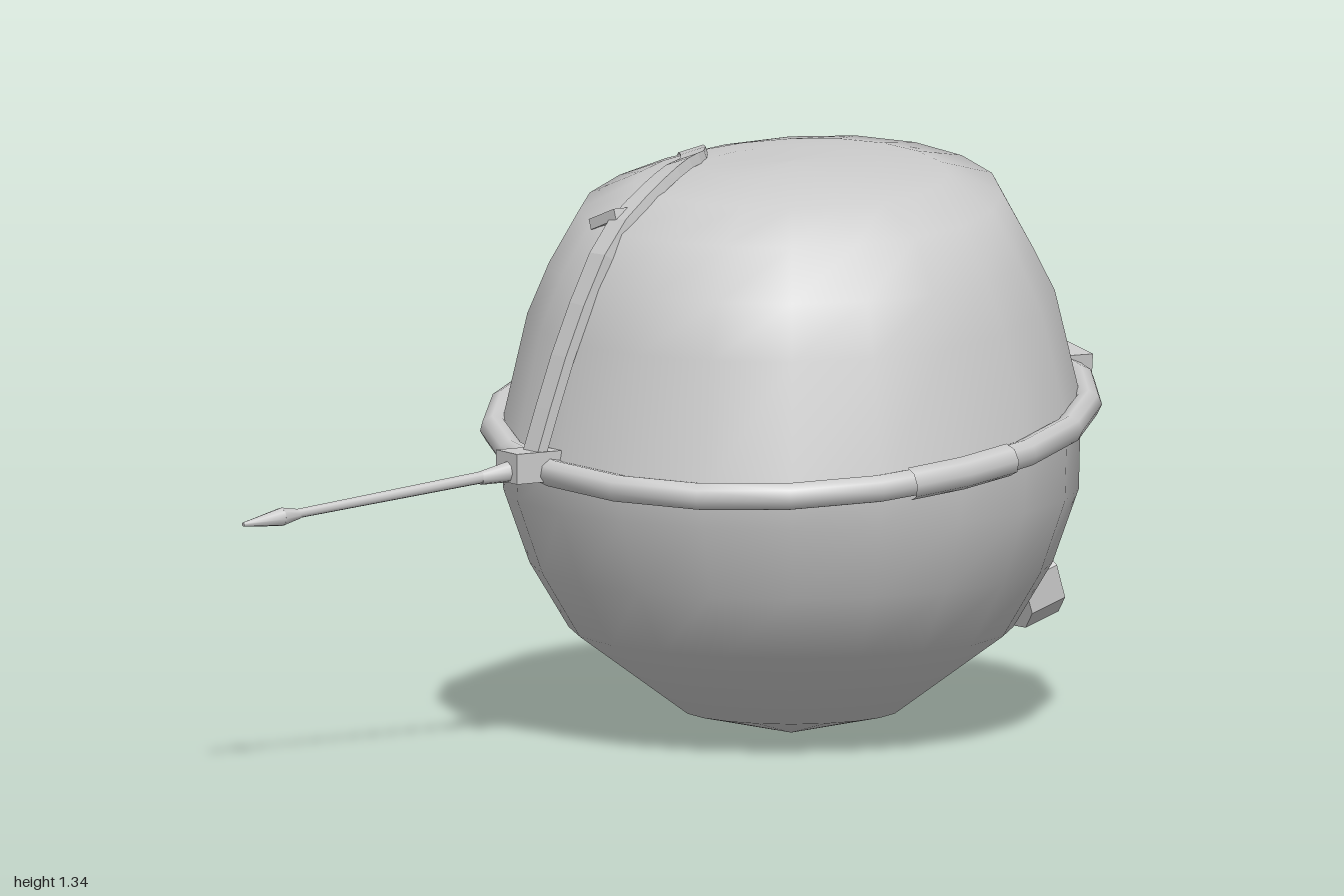
import * as THREE from 'three';

const V = (x, y, z) => new THREE.Vector3(x, y, z);
const CX = 0.12, CZ = -0.15, SEG = 20;
const lerp = THREE.MathUtils.lerp;
const solid = new THREE.MeshStandardMaterial({ color: 0xcccccc });
const open = new THREE.MeshStandardMaterial({ color: 0xcccccc, side: THREE.DoubleSide });

// Closed loops of points joined row by row
function loft(rows, cols, point) {
  const pos = [], idx = [];
  for (let i = 0; i < rows; i++)
    for (let j = 0; j < cols; j++) pos.push(...point(i, j).toArray());
  for (let i = 0; i < rows - 1; i++)
    for (let j = 0; j < cols; j++) {
      const k = (j + 1) % cols, a = i * cols + j, b = i * cols + k;
      idx.push(a, b, b + cols, a, b + cols, a + cols);
    }
  const g = new THREE.BufferGeometry();
  g.setAttribute('position', new THREE.Float32BufferAttribute(pos, 3));
  g.setIndex(idx);
  g.computeVertexNormals();
  return g;
}

// Flat strap along a path, lying on the round body, with a width at each end
function strap(points, widthA, widthB, thick) {
  const curve = new THREE.CatmullRomCurve3(points);
  const n = points.length * 2;
  const g = loft(n + 3, 4, (i, j) => {
    const u = THREE.MathUtils.clamp((i - 1) / n, 0, 1);
    const p = curve.getPoint(u), t = curve.getTangent(u);
    if (i === 0 || i === n + 2) return p;
    const out = p.clone().sub(V(CX, 0.67, CZ));
    out.addScaledVector(t, -out.dot(t)).normalize();
    const side = t.clone().cross(out);
    return p.addScaledVector(side, (j === 1 || j === 2 ? 1 : -1) * lerp(widthA, widthB, u) / 2)
      .addScaledVector(out, (j < 2 ? 1 : -1) * thick / 2);
  }).toNonIndexed();
  g.computeVertexNormals();
  return g;
}

// Point on the tilted band, angle measured from the front towards +x
function bandPoint(a, r) {
  const z = CZ + r * Math.cos(a);
  return V(CX + r * Math.sin(a), 0.748 - 0.15 * (z - CZ), z);
}

function bandTube(from, to, steps, radius) {
  const path = new THREE.CurvePath();
  const at = i => bandPoint(lerp(from, to, i / steps), 0.682);
  for (let i = 0; i < steps; i++) path.add(new THREE.LineCurve3(at(i), at(i + 1)));
  return new THREE.TubeGeometry(path, steps, radius, 8);
}

export function createModel() {
  const model = new THREE.Group();
  const add = (name, geo, mat = solid) => {
    const m = new THREE.Mesh(geo, mat);
    m.name = name;
    model.add(m);
    return m;
  };
  const rod = (name, a, b, ra, rb, sides = 8) => {
    const m = add(name, new THREE.CylinderGeometry(rb, ra, a.distanceTo(b), sides));
    m.position.copy(a).lerp(b, 0.5);
    m.quaternion.setFromUnitVectors(V(0, 1, 0), b.clone().sub(a).normalize());
  };

  // Lower bowl, ending at the tilted rim
  const bowl = [[0, 0.005], [0.25, 0.06], [0.51, 0.25], [0.60, 0.40], [0.66, 0.57]];
  add('lowerBowl', loft(6, SEG, (i, j) => {
    const a = j / SEG * Math.PI * 2;
    if (i === 5) return bandPoint(a, 0.665);
    const [r, y] = bowl[i];
    return V(CX + r * Math.sin(a), y, CZ + r * Math.cos(a));
  }), open);

  // Upper dome: each row is radius, height, and how much it rises to the back
  const dome = [[0.605, 1.0, 0.085], [0.555, 1.11, 0.055], [0.485, 1.235, 0.062],
    [0.36, 1.29, 0.03], [0.21, 1.32, 0.01], [0, 1.33, 0]];
  const domePoint = (i, a) => {
    const [r, y, rise] = dome[i], c = Math.cos(a);
    return V(CX + r * Math.sin(a), y + rise * (0.4 * c * c - c), CZ + r * c);
  };
  // the lowest row arches up over the rear opening
  const arch = [1, 0.8, 0];
  add('upperDome', loft(7, SEG, (i, j) => {
    const a = j / SEG * Math.PI * 2;
    if (i > 0) return domePoint(i - 1, a);
    const lift = arch[Math.abs(j - SEG / 2)] || 0;
    return bandPoint(a, 0.665).lerp(domePoint(0, a), lift * 0.98);
  }), open);

  // Band around the body with a thicker sleeve
  add('band', bandTube(-2.42, 2.42, 16, 0.033));
  add('bandSleeve', bandTube(0.72, 1.13, 2, 0.038));

  // End boxes and the tapering arms that hang from them
  for (const s of [1, -1]) {
    const box = add('bandEnd', new THREE.BoxGeometry(0.06, 0.08, 0.21));
    box.position.copy(bandPoint(s * 2.35, 0.69));
    box.lookAt(bandPoint(s * 2.35 + 0.02, 0.69));
    const joint = add('armJoint', new THREE.BoxGeometry(0.06, 0.09, 0.06));
    joint.position.set(CX + s * 0.385, 0.855, -0.715);
    joint.rotation.y = -s * 0.7;
    add('arm', strap([V(CX + s * 0.41, 0.84, -0.69), V(CX + s * 0.365, 0.68, -0.735),
      V(CX + s * 0.27, 0.52, -0.79), V(CX + s * 0.16, 0.39, -0.85),
      V(CX + s * 0.1, 0.31, -0.89)], 0.13, 0.045, 0.02));
  }

  // Strap over the top
  add('topStrap', strap([V(-0.325, 0.69, 0.405), V(-0.265, 0.95, 0.335), V(-0.19, 1.19, 0.24),
    V(-0.14, 1.28, 0.1), V(-0.12, 1.318, -0.05), V(-0.13, 1.315, -0.2), V(-0.2, 1.295, -0.4),
    V(-0.255, 1.22, -0.53), V(-0.27, 1.05, -0.63), V(-0.27, 0.85, -0.71)], 0.06, 0.06, 0.025));
  const tab = add('strapTab', new THREE.BoxGeometry(0.1, 0.025, 0.06));
  tab.position.set(-0.21, 1.225, 0.16);
  tab.rotation.set(0, -0.6, 0.35);

  // Front bracket with the rod and its pointed tip
  const bracket = add('frontBracket', new THREE.BoxGeometry(0.09, 0.07, 0.12));
  bracket.position.set(-0.335, 0.68, 0.4);
  bracket.rotation.y = -0.7;
  rod('rodSocket', V(-0.34, 0.675, 0.41), V(-0.42, 0.66, 0.5), 0.03, 0.016);
  rod('rod', V(-0.36, 0.67, 0.43), V(-0.76, 0.613, 0.91), 0.015, 0.011);
  rod('rodTipBase', V(-0.735, 0.615, 0.88), V(-0.765, 0.612, 0.915), 0.012, 0.022);
  rod('rodTip', V(-0.765, 0.612, 0.915), V(-0.83, 0.603, 1.0), 0.022, 0.005);

  // Rear breathing unit: four-sided block, narrower at the back and below
  const unit = new THREE.Group();
  unit.name = 'rearUnit';
  unit.position.set(CX, 0.27, -0.905);
  unit.rotation.x = 0.28;
  const block = (name, back, front, len, z) => {
    const g = new THREE.CylinderGeometry(back, front, len, 4)
      .rotateY(Math.PI / 4).rotateX(-Math.PI / 2).toNonIndexed();
    const p = g.attributes.position;
    for (let i = 0; i < p.count; i++) p.setX(i, p.getX(i) * (1 + p.getY(i) * 1.6));
    g.computeVertexNormals();
    const m = new THREE.Mesh(g, solid);
    m.name = name;
    m.position.z = z;
    unit.add(m);
  };
  block('unitBody', 0.135, 0.165, 0.12, 0);
  block('unitFlange', 0.15, 0.15, 0.02, -0.055);
  for (const s of [1, -1]) {
    const clip = new THREE.Mesh(new THREE.TorusGeometry(0.04, 0.011, 6, 10), solid);
    clip.name = 'unitClip';
    clip.position.set(s * 0.11, 0.03, 0);
    clip.rotation.x = Math.PI / 2;
    unit.add(clip);
  }
  model.add(unit);

  // Duct running forward and down from the unit, beneath the bowl
  const duct = add('duct', new THREE.BoxGeometry(0.2, 0.11, 0.24));
  duct.position.set(CX, 0.165, -0.745);
  duct.rotation.x = 0.5;

  // Side pods: chamfered frames around a core
  const outline = (Path, w, h, c) => {
    const p = new Path();
    [[-w, -h + c], [-w + c, -h], [w - c, -h], [w, -h + c], [w, h - c], [w - c, h], [-w + c, h], [-w, h - c]]
      .forEach(([x, y], i) => i ? p.lineTo(x, y) : p.moveTo(x, y));
    p.closePath();
    return p;
  };
  const frame = outline(THREE.Shape, 0.175, 0.08, 0.04);
  frame.holes.push(outline(THREE.Path, 0.145, 0.055, 0.025));
  for (const s of [1, -1]) {
    const pod = new THREE.Group();
    pod.name = s > 0 ? 'leftPod' : 'rightPod';
    const shell = new THREE.Mesh(new THREE.ExtrudeGeometry(frame, { depth: 0.1, bevelEnabled: false }), solid);
    shell.name = 'podFrame';
    shell.position.z = -0.05;
    const core = new THREE.Mesh(new THREE.BoxGeometry(0.3, 0.12, 0.06), solid);
    core.name = 'podCore';
    core.position.z = 0.012;
    pod.add(shell, core);
    pod.position.set(CX + s * 0.31, 0.29, -0.735);
    pod.rotation.set(-0.3, Math.PI - s * 0.6, 0, 'YXZ');
    model.add(pod);
    rod('podLink', V(CX + s * 0.08, 0.28, -0.88), V(CX + s * 0.22, 0.29, -0.78), 0.04, 0.035, 6);
  }
  return model;
}
